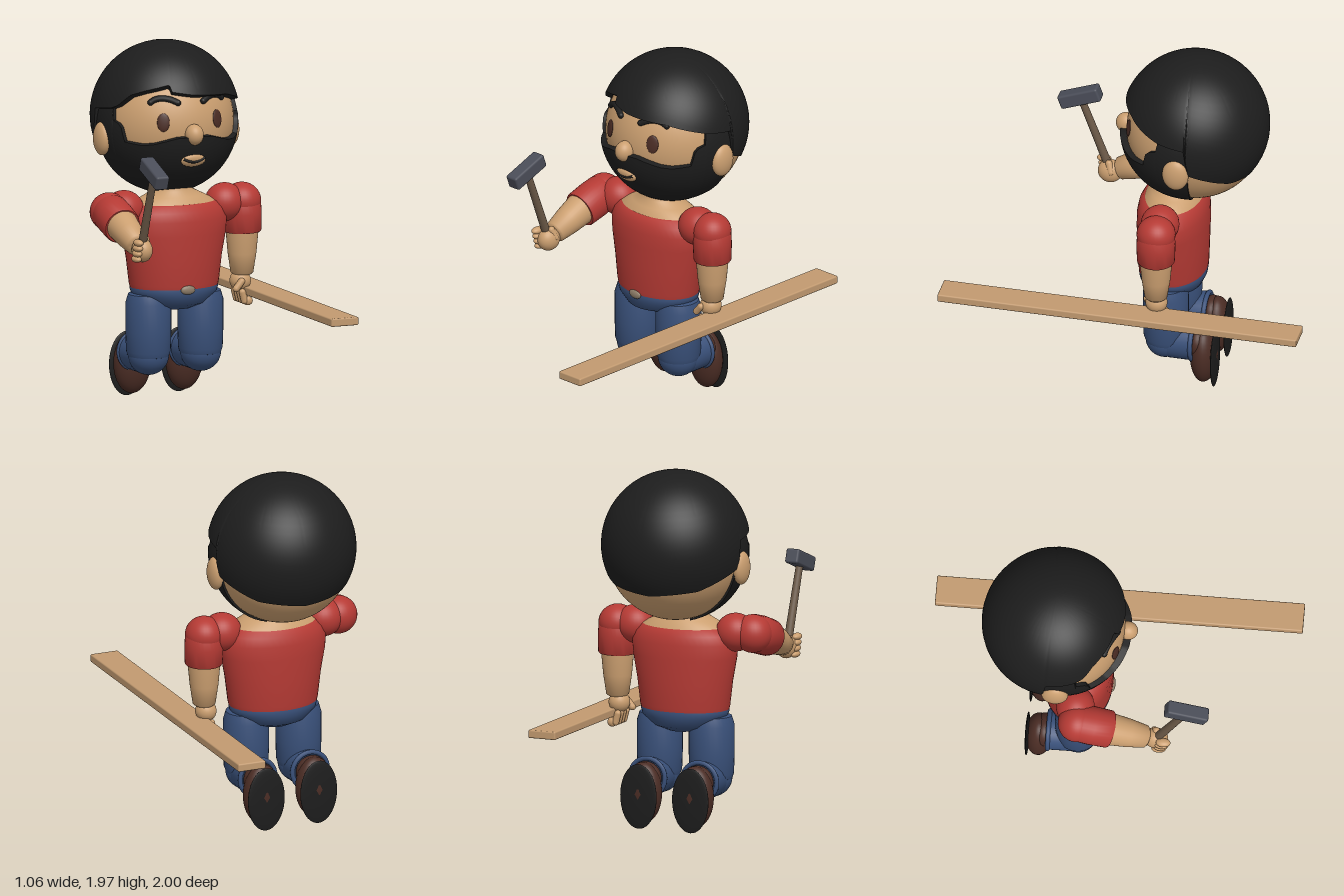
import * as THREE from 'three';
import { toCreasedNormals } from 'three/addons/utils/BufferGeometryUtils.js';
import { RoundedBoxGeometry } from 'three/addons/geometries/RoundedBoxGeometry.js';

const V = (x, y, z) => new THREE.Vector3(x, y, z);
const RAD = Math.PI / 180;
const CX = -0.03; // middle of the body

function material(name, color) {
  const m = new THREE.MeshStandardMaterial({ color });
  m.name = name;
  return m;
}

// Grid surface from a rule fn(i, j), for i in 0..n and j in 0..m
function surface(n, m, fn) {
  const pos = [], idx = [];
  for (let j = 0; j <= m; j++) for (let i = 0; i <= n; i++) pos.push(...fn(i, j));
  for (let j = 0; j < m; j++) for (let i = 0; i < n; i++) {
    const a = j * (n + 1) + i, c = a + n + 1;
    idx.push(a, a + 1, c, a + 1, c + 1, c);
  }
  const g = new THREE.BufferGeometry();
  g.setAttribute('position', new THREE.Float32BufferAttribute(pos, 3));
  g.setIndex(idx);
  return toCreasedNormals(g, 0.8);
}

// Horizontal elliptical rings [y, halfX, halfZ] stacked upward
function loft(rings, x, z, n = 48) {
  return surface(n, rings.length - 1, (i, j) => {
    const [y, rx, rz] = rings[j], a = (i / n) * Math.PI * 2;
    return [x + rx * Math.sin(a), y, z + rz * Math.cos(a)];
  });
}

// Linear interpolation in a list of [key, value]
function table(list, k) {
  for (let i = 1; i < list.length; i++) {
    const [k0, v0] = list[i - 1], [k1, v1] = list[i];
    if (k <= k1) return v0 + ((v1 - v0) * (k - k0)) / (k1 - k0);
  }
  return list[list.length - 1][1];
}

// Patch of a ball between two elevation lines, with its rim turned inward
function ballPatch(c, radius, span, low, high, n, m) {
  return surface(n + 2, m + 2, (i, j) => {
    const u = THREE.MathUtils.clamp((i - 1) / n, 0, 1), v = THREE.MathUtils.clamp((j - 1) / m, 0, 1);
    const az = span * (2 * u - 1), el = low(az) + (high(az) - low(az)) * v;
    const rim = i === 0 || j === 0 || i === n + 2 || j === m + 2;
    const r = radius(az, el) * (rim ? 0.87 : 1), h = r * Math.cos(el * RAD);
    return [c.x + h * Math.sin(az * RAD), c.y + r * Math.sin(el * RAD), c.z + h * Math.cos(az * RAD)];
  });
}

export function createModel() {
  const root = new THREE.Group();
  root.name = 'carpenter';
  const skin = material('skin', 0xcb9f70), black = material('black', 0x1d1d1d);
  const red = material('shirt red', 0xb53a34), blue = material('denim blue', 0x395079);
  const brown = material('dark brown', 0x4a2c24), wood = material('plank wood', 0xc29a70);
  const steel = material('steel', 0x4a4d58), handleWood = material('handle wood', 0x6a5846);
  const metal = material('buckle', 0x8d7c68);

  const add = (name, geo, mat, parent = root) => {
    const mesh = new THREE.Mesh(geo, mat);
    mesh.name = name;
    parent.add(mesh);
    return mesh;
  };
  const ball = (name, p, r, mat, parent = root) => {
    const mesh = add(name, new THREE.SphereGeometry(1, 32, 20), mat, parent);
    mesh.position.copy(p);
    mesh.scale.copy(r);
    return mesh;
  };
  // Turned limb from a to b; profile is a list of [radius, part of the length]
  const limb = (name, a, b, profile, mat) => {
    const len = a.distanceTo(b);
    const pts = profile.map(([r, t]) => new THREE.Vector2(r, t * len));
    const mesh = add(name, toCreasedNormals(new THREE.LatheGeometry(pts, 32), 0.8), mat);
    mesh.position.copy(a);
    mesh.quaternion.setFromUnitVectors(V(0, 1, 0), b.clone().sub(a).normalize());
    return mesh;
  };

  // Head
  const C = V(CX, 1.525, -0.31), H = V(CX, 1.56, -0.305);
  const onHead = (x, y, r) => V(x, y, C.z + Math.sqrt(r * r - (x - C.x) ** 2 - (y - C.y) ** 2));
  add('head', new THREE.SphereGeometry(0.378, 64, 40), skin).position.copy(C);

  const hairline = [[-180, -35.5], [-135, -30], [-97, -14], [-94, 8], [-72, 11], [-65, 13.6], [-54, 23],
    [-42, 27], [-22, 32], [-19.5, 31.5], [-18, 26.5], [0, 23.4], [37, 20.3], [72, 11], [94, 8], [97, -14],
    [135, -30], [180, -35.5]];
  add('hair', ballPatch(H, () => 0.406, 180, a => table(hairline, a), () => 90, 180, 20), black);

  const beardTop = [[0, -4], [14, -4.5], [33, -9.5], [42, -10.5], [57, -9], [60, 2], [63, 5], [69, 7], [71, 20], [96, 20]];
  const beardRadius = (a, e) => 0.39 + 0.026 * Math.max(0, Math.cos(a * RAD)) * Math.cos(e * RAD);
  add('beard', ballPatch(C, beardRadius, 96, () => -76, a => table(beardTop, Math.abs(a)), 128, 16), black);

  ball('nose', V(CX, 1.505, 0.082), V(0.05, 0.058, 0.055), skin);
  for (const s of [-1, 1]) {
    ball('ear', V(CX + s * 0.383, 1.455, -0.285), V(0.042, 0.092, 0.073), skin);
    const ex = CX + s * 0.16;
    const eye = ball('eye', onHead(ex, 1.575, 0.378), V(0.034, 0.05, 0.009), brown);
    eye.lookAt(eye.position.clone().multiplyScalar(2).sub(C));
    const arch = [[-0.07, 1.678], [-0.035, 1.695], [0.01, 1.702], [0.045, 1.694], [0.065, 1.68]];
    const browLine = new THREE.CatmullRomCurve3(arch.map(([d, y]) => onHead(CX + s * (0.145 + d), y, 0.383)));
    add('eyebrow', new THREE.TubeGeometry(browLine, 20, 0.017, 10), black);
    for (const t of [0, 1]) ball('eyebrowEnd', browLine.getPoint(t), V(0.017, 0.017, 0.017), black);
  }
  const lip = ball('lips', onHead(CX, 1.362, 0.412), V(0.072, 0.038, 0.022), skin);
  lip.rotation.x = 0.38;
  const smile = [-0.062, -0.03, 0, 0.03, 0.062].map(d => onHead(CX + d, 1.357 + d * d * 4.5, 0.432 - d * d * 2.5));
  add('mouth', new THREE.TubeGeometry(new THREE.CatmullRomCurve3(smile), 20, 0.008, 8), black);

  // Torso
  add('neck', loft([[1.06, 0.26, 0.17], [1.1, 0.24, 0.155], [1.135, 0.17, 0.125], [1.165, 0.11, 0.1],
    [1.2, 0.09, 0.09], [1.3, 0.09, 0.09]], CX, -0.19), skin);
  add('shirt', loft([[0.645, 0, 0], [0.64, 0.25, 0.185], [0.66, 0.255, 0.188], [0.8, 0.273, 0.192], [0.93, 0.298, 0.195],
    [1.01, 0.305, 0.192], [1.06, 0.285, 0.182], [1.095, 0.25, 0.162], [1.1, 0.235, 0.15]], CX, -0.185), red);
  add('hips', loft([[0.515, 0, 0], [0.52, 0.09, 0.1], [0.55, 0.18, 0.16], [0.6, 0.24, 0.182], [0.63, 0.25, 0.186],
    [0.65, 0.246, 0.182]], CX, -0.185), blue);
  ball('beltBuckle', V(CX, 0.638, 0), V(0.042, 0.025, 0.015), metal);

  // Kneeling legs
  for (const s of [-1, 1]) {
    const x = CX + s * 0.155;
    limb('thigh', V(x, 0.25, -0.178), V(x, 0.63, -0.178),
      [[0, 0], [0.085, 0], [0.112, 0.03], [0.121, 0.1], [0.125, 0.4], [0.125, 0.8], [0.11, 0.93], [0, 1]], blue);
    ball('knee', V(x, 0.265, -0.175), V(0.112, 0.108, 0.108), blue);
    limb('shin', V(x, 0.262, -0.13), V(x, 0.265, -0.335),
      [[0, 0], [0.06, 0], [0.095, 0.15], [0.106, 0.4], [0.108, 1], [0, 1]], blue);
    const cuff = add('trouserCuff', new THREE.TorusGeometry(0.104, 0.013, 10, 40), blue);
    cuff.position.set(x, 0.265, -0.335);
    ball('boot', V(x, 0.19, -0.39), V(0.107, 0.168, 0.075), brown);
    ball('bootAnkle', V(x, 0.265, -0.36), V(0.092, 0.092, 0.06), brown);
    ball('sole', V(x, 0.178, -0.452), V(0.109, 0.178, 0.012), black);
  }

  // Arms: the left hangs down, the right reaches forward
  const sleeve = [[0.06, 0], [0.098, 0], [0.103, 0.04], [0.106, 0.5], [0.103, 0.8], [0.08, 1]];
  const forearm = [[0, 0], [0.05, 0], [0.062, 0.04], [0.078, 0.45], [0.09, 0.95], [0.09, 1], [0, 1]];
  for (const s of [-1, 1]) ball('shoulder', V(CX + s * 0.3, 1.075, -0.18), V(0.11, 0.105, 0.105), red);
  const capsule = new THREE.CapsuleGeometry(0.019, 0.05, 6, 12);

  ball('leftShoulderCap', V(0.375, 1.075, -0.183), V(0.104, 0.1, 0.106), red);
  limb('leftSleeve', V(0.378, 0.905, -0.183), V(0.375, 1.11, -0.183), sleeve, red);
  limb('leftForearm', V(0.375, 0.67, -0.183), V(0.376, 0.93, -0.183), forearm, skin);
  ball('leftHand', V(0.365, 0.635, -0.183), V(0.058, 0.058, 0.06), skin);
  for (let k = 0; k < 4; k++) {
    const f = add('leftFinger', capsule, skin);
    f.position.set(0.358, 0.555, -0.127 - k * 0.035);
    f.rotation.z = 0.25;
    ball('leftFingertip', V(0.385, 0.53, -0.127 - k * 0.035), V(0.028, 0.025, 0.018), skin);
  }
  const leftThumb = add('leftThumb', capsule, skin);
  leftThumb.position.set(0.33, 0.62, -0.125);
  leftThumb.rotation.z = -0.7;

  ball('rightShoulderCap', V(-0.425, 1.072, -0.165), V(0.106, 0.105, 0.102), red);
  limb('rightSleeve', V(-0.43, 1.02, 0.02), V(-0.425, 1.085, -0.19), sleeve, red);
  limb('rightForearm', V(-0.43, 0.945, 0.22), V(-0.43, 1.035, -0.01), forearm, skin);
  ball('rightHand', V(-0.425, 0.928, 0.265), V(0.055, 0.066, 0.068), skin);
  for (let k = 0; k < 4; k++)
    ball('rightFinger', V(-0.468, 0.885 + k * 0.031, 0.285 + k * 0.008), V(0.025, 0.019, 0.04), skin);
  const rightThumb = add('rightThumb', capsule, skin);
  rightThumb.position.set(-0.395, 0.965, 0.26);
  rightThumb.rotation.set(0.3, 0, 0.35);

  // Hammer, leaning forward
  const hammer = new THREE.Group();
  hammer.name = 'hammer';
  hammer.position.set(-0.43, 0.93, 0.265);
  hammer.rotation.x = 0.36;
  root.add(hammer);
  add('hammerHandle', new THREE.CylinderGeometry(0.02, 0.024, 0.46, 20), handleWood, hammer).position.y = 0.21;
  add('hammerHead', new RoundedBoxGeometry(0.078, 0.08, 0.235, 3, 0.012), steel, hammer).position.set(0, 0.477, 0);

  // Plank
  add('plank', new RoundedBoxGeometry(0.162, 0.045, 2, 3, 0.008), wood).position.set(0.449, 0.585, 0);
  return root;
}
